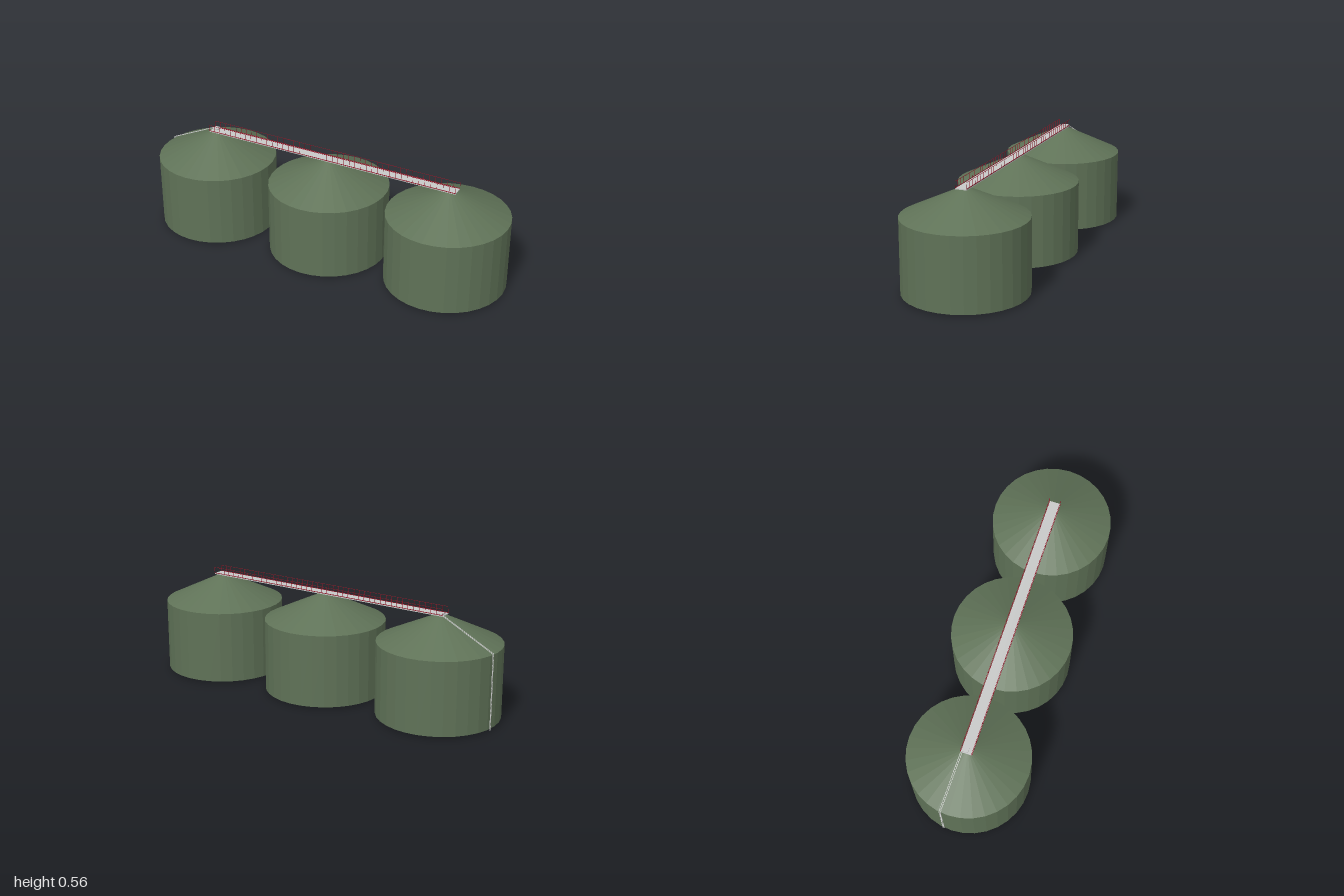
import * as THREE from 'three';

export function createModel() {
  const model = new THREE.Group();
  const green = new THREE.MeshStandardMaterial({ color: 0x5f7257, flatShading: true, side: THREE.DoubleSide });
  green.name = 'tank green';
  const grey = new THREE.MeshStandardMaterial({ color: 0xc8c9c8 });
  grey.name = 'galvanised grey';
  const red = new THREE.MeshStandardMaterial({ color: 0x8e1626 });
  red.name = 'railing red';

  const add = (parent, name, geometry, material, x = 0, y = 0, z = 0) => {
    const mesh = new THREE.Mesh(geometry, material);
    mesh.name = name;
    mesh.position.set(x, y, z);
    parent.add(mesh);
    return mesh;
  };
  const box = (parent, name, w, h, d, material, x, y, z) =>
    add(parent, name, new THREE.BoxGeometry(w, h, d), material, x, y, z);
  // Square bar between two points
  const bar = (parent, name, a, b, size, material) => {
    const mesh = box(parent, name, size, size, a.distanceTo(b), material, 0, 0, 0);
    mesh.position.copy(a).lerp(b, 0.5);
    mesh.lookAt(b);
    return mesh;
  };
  const group = (name) => {
    const g = new THREE.Group();
    g.name = name;
    model.add(g);
    return g;
  };

  // Three open-bottomed tanks with conical roofs
  const R = 0.317, base = 0.008, eave = 0.387, peak = 0.524;
  for (const x of [-0.682, 0.005, 0.682]) {
    const tank = group('tank');
    add(tank, 'tankWall', new THREE.CylinderGeometry(R, R, eave - base, 32, 1, true), green, x, (eave + base) / 2);
    add(tank, 'tankRoof', new THREE.CylinderGeometry(0.026, R, peak - eave, 32, 1, true), green, x, (peak + eave) / 2);
    add(tank, 'roofCap', new THREE.CylinderGeometry(0.026, 0.026, 0.002, 32), green, x, peak);
  }

  // Walkway across the roof peaks
  const x0 = -0.709, x1 = 0.725, mid = (x0 + x1) / 2, len = x1 - x0;
  const walkway = group('walkway');
  box(walkway, 'deck', len, 0.005, 0.06, grey, mid, 0.5265, 0);
  box(walkway, 'hatch', 0.03, 0.007, 0.032, grey, -0.69, 0.5325, -0.009);

  // Railings on both edges
  for (const z of [-0.029, 0.03]) {
    const railing = group('railing');
    box(railing, 'topRail', len, 0.0015, 0.0015, red, mid, 0.562, z);
    box(railing, 'toeBoard', len, 0.003, 0.002, red, mid, 0.5305, z);
    const posts = 44;
    for (let i = 0; i <= posts; i++) {
      box(railing, 'post', 0.0015, 0.034, 0.0015, red, x0 + 0.001 + (len - 0.002) * i / posts, 0.545, z);
    }
  }

  // Ladder up the wall and over the roof of the right-hand tank
  const ladder = group('ladder');
  const foot = new THREE.Vector3(-0.998, 0, -0.043);
  const bend = new THREE.Vector3(-0.998, 0.392, -0.043);
  const top = new THREE.Vector3(-0.706, 0.529, -0.024);
  for (const [a, b, rungs] of [[foot, bend, 28], [bend, top, 24]]) {
    for (const side of [-0.004, 0.004]) {
      const shift = new THREE.Vector3(0, 0, side);
      bar(ladder, 'ladderRail', a.clone().add(shift), b.clone().add(shift), 0.002, grey);
    }
    for (let i = 1; i < rungs; i++) {
      const p = a.clone().lerp(b, i / rungs);
      box(ladder, 'rung', 0.0015, 0.0015, 0.008, grey, p.x, p.y, p.z);
    }
  }
  return model;
}
